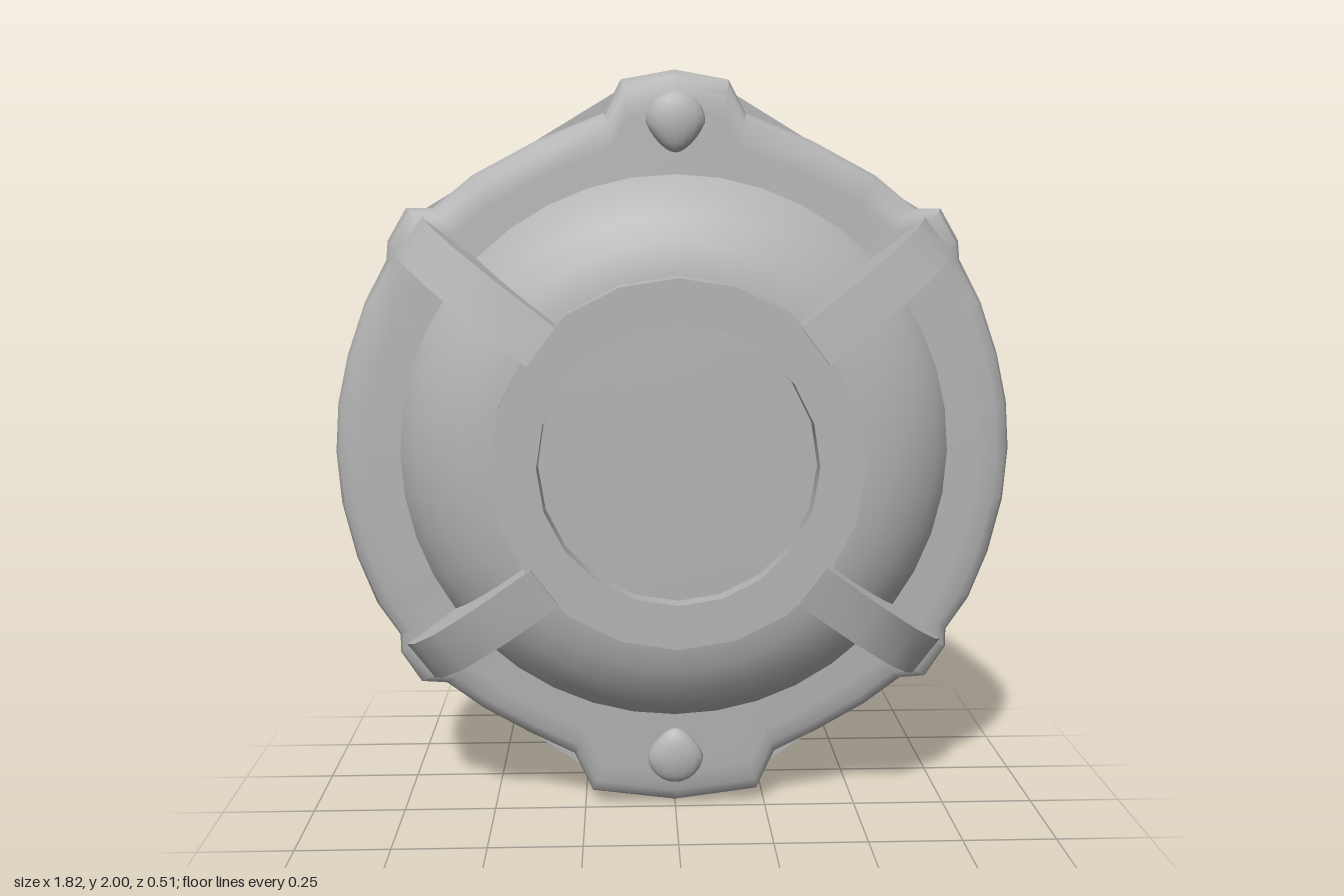
import * as THREE from 'three';
import { toCreasedNormals } from 'three/addons/utils/BufferGeometryUtils.js';

const CREASE = 0.65;

// Right half of an outline (top to bottom, around the centre) -> full counterclockwise loop
function mirrorOutline(half) {
  const left = half.map(([x, y]) => [-x, y - 1]);
  const right = half.slice(1, -1).reverse().map(([x, y]) => [x, y - 1]);
  return [...left, ...right];
}

// Stack of scaled outlines [scale, z], back to front, closed by caps
function loft(outline, levels) {
  const pos = [];
  const rings = levels.map(([s, z]) => outline.map(([x, y]) => [x * s, y * s, z]));
  const n = outline.length;
  const tri = (...corners) => corners.forEach((p) => pos.push(...p));
  const last = rings.length - 1;
  for (let j = 0; j < n; j++) {
    const k = (j + 1) % n;
    for (let i = 0; i < last; i++) {
      tri(rings[i][j], rings[i][k], rings[i + 1][k]);
      tri(rings[i][j], rings[i + 1][k], rings[i + 1][j]);
    }
    tri([0, 0, levels[0][1]], rings[0][k], rings[0][j]);
    tri([0, 0, levels[last][1]], rings[last][j], rings[last][k]);
  }
  const g = new THREE.BufferGeometry();
  g.setAttribute('position', new THREE.Float32BufferAttribute(pos, 3));
  return toCreasedNormals(g, CREASE);
}

// Lathe profile of [radius, z] turned around the z axis
function turned(profile, segments) {
  const g = new THREE.LatheGeometry(profile.map(([r, z]) => new THREE.Vector2(r, z)), segments);
  g.rotateX(Math.PI / 2);
  return toCreasedNormals(g, CREASE);
}

export function createModel() {
  const model = new THREE.Group();
  model.name = 'roundHatch';
  const grey = new THREE.MeshStandardMaterial({ color: 0xb4b4b4 });
  grey.name = 'grey';

  const add = (name, geometry, y = 1) => {
    const mesh = new THREE.Mesh(geometry, grey);
    mesh.name = name;
    mesh.position.y = y;
    model.add(mesh);
    return mesh;
  };

  // Front rim with top and bottom lugs and four small corner steps
  const rim = mirrorOutline([
    [0, 2], [0.14, 1.975], [0.185, 1.89], [0.36, 1.82], [0.53, 1.73], [0.635, 1.645],
    [0.705, 1.645], [0.755, 1.56], [0.76, 1.51], [0.82, 1.4], [0.87, 1.26], [0.9, 1.13],
    [0.91, 1], [0.9, 0.86], [0.865, 0.71], [0.815, 0.58], [0.755, 0.49], [0.755, 0.44],
    [0.7, 0.355], [0.63, 0.35], [0.53, 0.275], [0.4, 0.2], [0.28, 0.14], [0.23, 0.03], [0, 0],
  ]);
  add('rim', loft(rim, [
    [0.965, -0.155], [0.995, -0.14], [1, -0.05], [0.985, -0.02], [0.955, -0.005], [0.9, 0],
  ]));

  // Plain convex back plate
  const back = mirrorOutline([
    [0, 1.98], [0.14, 1.96], [0.7, 1.625], [0.74, 1.55], [0.85, 1.26], [0.89, 1],
    [0.85, 0.73], [0.74, 0.45], [0.7, 0.365], [0.22, 0.035], [0, 0.02],
  ]);
  add('backPlate', loft(back, [[1, -0.26], [1, -0.15]]));

  // Central dome, raised ring and sunken disc
  add('dome', turned([
    [0.74, -0.02], [0.73, 0.005], [0.69, 0.055], [0.63, 0.105], [0.56, 0.14], [0.48, 0.16], [0, 0.16],
  ], 40));
  add('ring', turned([[0.48, 0.13], [0.475, 0.235], [0.358, 0.235], [0.358, 0.155]], 20));
  add('disc', turned([[0.36, 0.15], [0.355, 0.195], [0, 0.2]], 20));

  // Four curved straps from the ring to the rim
  const strapSide = new THREE.Shape([
    [0.455, 0.13], [0.6, 0.09], [0.73, 0], [0.75, -0.06], [0.905, -0.06], [0.9, -0.01],
    [0.86, 0.065], [0.78, 0.145], [0.64, 0.21], [0.455, 0.25],
  ].map(([r, z]) => new THREE.Vector2(r, z)));
  const width = 0.12;
  for (const sx of [1, -1]) {
    for (const sy of [1, -1]) {
      const g = new THREE.ExtrudeGeometry(strapSide, { depth: width, bevelEnabled: false });
      g.translate(0, 0, -width / 2);
      g.rotateX(Math.PI / 2);
      // Straps lie slightly off the true radius
      g.translate(-0.68, 0, 0);
      g.rotateZ(Math.atan2(0.25 * sy, 0.33 * sx));
      g.translate(0.52 * sx, 0.442 * sy, 0);
      add('strap', toCreasedNormals(g, 0.5));
    }
  }

  // Teardrop studs on the lugs, pointing to the centre
  for (const [y, dir] of [[1.865, -1], [0.15, 1]]) {
    const g = new THREE.SphereGeometry(1, 16, 12);
    const p = g.attributes.position;
    for (let i = 0; i < p.count; i++) {
      const t = p.getY(i) * dir;
      const taper = t > 0 ? 1 - 0.35 * t : 1;
      p.setX(i, p.getX(i) * taper);
    }
    g.scale(0.077, 0.078, 0.033);
    g.computeVertexNormals();
    add('stud', g, y);
  }
  return model;
}
